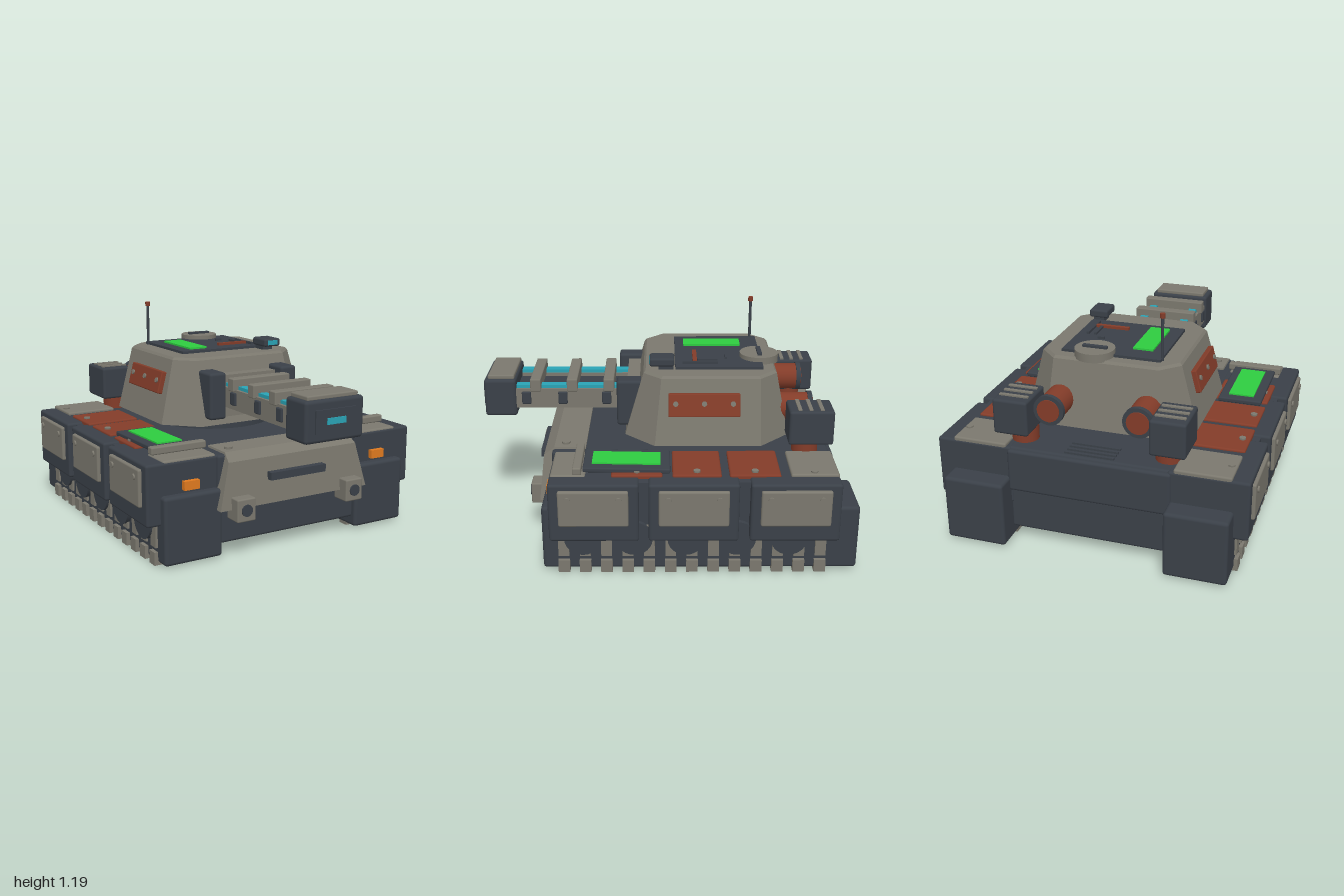
import * as THREE from 'three';
import { RoundedBoxGeometry } from 'three/addons/geometries/RoundedBoxGeometry.js';
import { ConvexGeometry } from 'three/addons/geometries/ConvexGeometry.js';

const material = (name, color) => {
  const m = new THREE.MeshStandardMaterial({ color });
  m.name = name;
  return m;
};

export function createModel() {
  const root = new THREE.Group();
  root.name = 'tank';
  const dark = material('dark steel', 0x3a4048);
  const grey = material('warm grey armour', 0x7b786e);
  const rust = material('rust red', 0x833c29);
  const green = material('bright green', 0x2ecc40);
  const cyan = material('cyan glow', 0x2aa3b5);
  const orange = material('orange lamp', 0xe07a1f);

  const add = (name, geo, mat, parent = root) => {
    const mesh = new THREE.Mesh(geo, mat);
    mesh.name = name;
    parent.add(mesh);
    return mesh;
  };
  // box given by its limits on each axis, with optional rounded edges
  const box = (name, mat, x0, x1, y0, y1, z0, z1, r = 0, parent = root) => {
    const s = [Math.abs(x1 - x0), y1 - y0, z1 - z0];
    const geo = r ? new RoundedBoxGeometry(...s, 2, r) : new THREE.BoxGeometry(...s);
    const mesh = add(name, geo, mat, parent);
    mesh.position.set((x0 + x1) / 2, (y0 + y1) / 2, (z0 + z1) / 2);
    return mesh;
  };
  // cylinder lying along the chosen axis
  const cyl = (name, mat, r, len, x, y, z, axis = 'y', sides = 24, parent = root) => {
    const geo = new THREE.CylinderGeometry(r, r, len, sides);
    if (axis === 'x') geo.rotateZ(Math.PI / 2);
    if (axis === 'z') geo.rotateX(Math.PI / 2);
    const mesh = add(name, geo, mat, parent);
    mesh.position.set(x, y, z);
    return mesh;
  };
  const hull = (name, mat, pts, parent = root) =>
    add(name, new ConvexGeometry(pts.map(p => new THREE.Vector3(...p))), mat, parent);

  // hull tub, rear step and engine deck
  box('hull', dark, -0.43, 0.43, 0.065, 0.53, -0.88, 0.6, 0.015);
  box('rearLedge', dark, -0.43, 0.43, 0.29, 0.52, -0.9, -0.77, 0.015);
  for (let i = 0; i < 4; i++)
    box('engineSlat', dark, -0.13, 0.13, 0.53, 0.54, -0.86 + i * 0.035, -0.845 + i * 0.035);

  // front armour: wider at the foot, with vision slot and headlamps
  hull('frontArmour', grey, [-1, 1].flatMap(s => [
    [s * 0.385, 0.54, 0.42], [s * 0.385, 0.54, 0.59], [s * 0.395, 0.5, 0.645],
    [s * 0.455, 0.26, 0.67], [s * 0.455, 0.26, 0.6], [s * 0.385, 0.5, 0.42]]));
  box('visionSlot', dark, -0.17, 0.17, 0.385, 0.425, 0.63, 0.69);

  // one side of the running gear and sponson, s = -1 or 1
  const side = s => {
    const g = new THREE.Group();
    g.name = s > 0 ? 'leftSide' : 'rightSide';
    root.add(g);
    const b = (n, m, x0, x1, ...rest) => {
      const [y0, y1, z0, z1, r = 0] = rest;
      return box(n, m, s * x0, s * x1, y0, y1, z0, z1, r, g);
    };
    // track body, wheels and links
    b('trackBody', dark, 0.42, 0.745, 0.012, 0.365, -1, 0.63, 0.018);
    for (let i = 0; i < 13; i++) {
      const z = 0.52 - i * 0.1105;
      b('trackLink', grey, 0.425, 0.765, 0, 0.068, z - 0.03, z + 0.03);
      b('trackTab', grey, 0.74, 0.757, 0.09, 0.27, z - 0.028, z + 0.028);
    }
    for (let i = 0; i < 5; i++)
      cyl('roadWheel', dark, 0.095, 0.04, s * 0.75, 0.2, 0.42 - i * 0.265, 'x', 24, g);

    // sponson with three armoured modules and their outer plates
    b('sponson', dark, 0.41, 0.77, 0.33, 0.52, -0.86, 0.55);
    [0.357, -0.148, -0.66].forEach(z => {
      b('skirtModule', dark, 0.41, 0.82, 0.212, 0.53, z - 0.228, z + 0.228, 0.014);
      b('skirtPlate', grey, 0.81, 0.838, 0.305, 0.5, z - 0.177, z + 0.177, 0.01);
      for (const d of [-0.128, 0.128])
        cyl('skirtBolt', grey, 0.016, 0.012, s * 0.841, 0.455, z + d, 'x', 12, g);
    });

    // deck plates
    [[-0.59, -0.33], [-0.29, -0.04], [0.01, 0.27]].forEach(([z0, z1]) => {
      b('rustDeckPlate', rust, 0.43, 0.73, 0.51, 0.542, z0, z1, 0.01);
      cyl('deckBolt', grey, 0.018, 0.012, s * 0.69, 0.545, (z0 + z1) / 2, 'y', 12, g);
    });
    b('rearDeckPlate', grey, 0.44, 0.73, 0.5, 0.545, -0.885, -0.64, 0.01);
    cyl('deckBolt', grey, 0.018, 0.012, s * 0.7, 0.547, -0.76, 'y', 12, g);
    b('frontDeckPlate', grey, 0.43, 0.725, 0.49, 0.538, 0.4, 0.58, 0.012);
    b('frontDeckBar', grey, 0.42, 0.73, 0.54, 0.58, 0.42, 0.465, 0.008);

    // sloping panel with a green face
    const panel = new THREE.Group();
    panel.name = 'deckPanel';
    panel.position.set(s * 0.58, 0.552, 0.195);
    panel.rotation.x = -0.02;
    g.add(panel);
    box('panelBase', dark, -0.12, 0.12, -0.014, 0.012, -0.225, 0.22, 0.008, panel);
    box('panelFace', green, -0.07, 0.07, 0.012, 0.02, -0.175, 0.175, 0, panel);

    // marker lamp and headlamp
    b('markerLamp', orange, 0.54, 0.625, 0.382, 0.428, 0.58, 0.612);
    b('headlampHousing', grey, 0.282, 0.39, 0.205, 0.325, 0.62, 0.725, 0.008);
    cyl('headlamp', dark, 0.031, 0.02, s * 0.336, 0.265, 0.722, 'z', 20, g);
    cyl('armourBolt', grey, 0.022, 0.012, s * 0.33, 0.545, 0.53, 'y', 12, g);

    // exhaust: box on a short post, with a round outlet behind the turret
    b('exhaustBox', dark, 0.315, 0.5, 0.6, 0.788, -0.885, -0.65, 0.014);
    cyl('exhaustPost', rust, 0.07, 0.1, s * 0.385, 0.565, -0.75, 'y', 20, g);
    for (const z of [-0.82, -0.762, -0.705])
      b('exhaustSlat', grey, 0.33, 0.485, 0.786, 0.795, z - 0.01, z + 0.01);
    cyl('outletPipe', rust, 0.074, 0.24, s * 0.235, 0.72, -0.66, 'z', 24, g);
    cyl('outletRim', dark, 0.081, 0.025, s * 0.235, 0.72, -0.785, 'z', 24, g);
    cyl('outletCore', rust, 0.06, 0.008, s * 0.235, 0.72, -0.799, 'z', 24, g);

    // tilted turret side plate with bolts
    const plate = new THREE.Group();
    plate.name = 'turretSidePlate';
    plate.position.set(s * 0.415, 0.795, -0.21);
    plate.rotation.z = s * 0.26;
    g.add(plate);
    box('sidePlate', rust, -0.022, 0.022, -0.062, 0.062, -0.188, 0.188, 0.006, plate);
    for (const z of [-0.15, 0, 0.15])
      cyl('sidePlateBolt', grey, 0.014, 0.012, s * 0.024, 0.008, z, 'x', 12, plate);

    // gun cheek and rail
    b('gunCheek', dark, 0.175, 0.275, 0.62, 0.875, 0.1, 0.255, 0.016);
    b('gunRail', grey, 0.088, 0.165, 0.68, 0.79, 0.1, 0.83);
    b('railGlow', cyan, 0.102, 0.148, 0.785, 0.808, 0.15, 0.82);
    for (const z of [0.755, 0.555, 0.315])
      b('railClip', dark, 0.155, 0.177, 0.705, 0.775, z - 0.025, z + 0.025, 0.006);
  };
  side(1);
  side(-1);

  // turret ring and eight-sided tapering turret
  cyl('turretRing', dark, 0.35, 0.07, 0, 0.555, -0.22, 'y', 32);
  const ring = (y, x, z0, z1, c) => [-1, 1].flatMap(s => [
    [s * x, y, z0 + c], [s * (x - c), y, z0], [s * x, y, z1 - c], [s * (x - c), y, z1]]);
  hull('turret', grey, [
    ...ring(0.582, 0.465, -0.67, 0.21, 0.16),
    ...ring(0.925, 0.375, -0.6, 0.11, 0.095),
    ...ring(0.938, 0.363, -0.588, 0.098, 0.09)]);

  // turret roof fittings
  box('roofPlate', dark, -0.27, 0.262, 0.93, 0.952, -0.53, -0.06);
  box('roofPanel', green, -0.2, -0.092, 0.952, 0.962, -0.43, -0.11);
  box('roofStrip', rust, 0.015, 0.2, 0.952, 0.966, -0.178, -0.155);
  box('roofRib', dark, 0.158, 0.172, 0.952, 0.965, -0.29, -0.18);
  box('roofRib', dark, 0.2, 0.214, 0.952, 0.965, -0.29, -0.1);
  box('roofRib', dark, 0.095, 0.135, 0.952, 0.965, -0.342, -0.33);
  cyl('hatch', grey, 0.105, 0.045, 0.083, 0.953, -0.52, 'y', 32);
  box('hatchHandle', dark, 0.015, 0.147, 0.974, 0.987, -0.532, -0.508);
  box('periscope', dark, 0.18, 0.285, 0.96, 1.005, -0.055, 0.078, 0.012);
  box('periscopeFoot', dark, 0.2, 0.26, 0.93, 0.97, -0.05, 0.03);
  box('periscopeLens', cyan, 0.2, 0.265, 0.97, 0.996, 0.073, 0.081);
  cyl('antennaPole', dark, 0.008, 0.24, -0.27, 1.055, -0.5, 'y', 12);
  cyl('antennaTip', rust, 0.014, 0.024, -0.27, 1.178, -0.5, 'y', 12);

  // gun core, straps and muzzle
  box('gunCore', dark, -0.07, 0.07, 0.67, 0.78, 0.1, 0.83);
  box('gunCollar', grey, -0.17, 0.17, 0.62, 0.85, 0.1, 0.2);
  for (const z of [0.302, 0.502, 0.702])
    box('gunStrap', grey, -0.18, 0.18, 0.78, 0.85, z - 0.029, z + 0.029, 0.006);
  box('muzzle', dark, -0.175, 0.175, 0.633, 0.845, 0.81, 0.985, 0.018);
  box('muzzleTopPlate', grey, -0.152, 0.152, 0.84, 0.866, 0.82, 0.965, 0.008);
  box('muzzleFrame', dark, -0.12, 0.12, 0.682, 0.798, 0.98, 0.994);
  box('muzzleGlow', cyan, -0.055, 0.055, 0.724, 0.756, 0.992, 1);
  return root;
}
